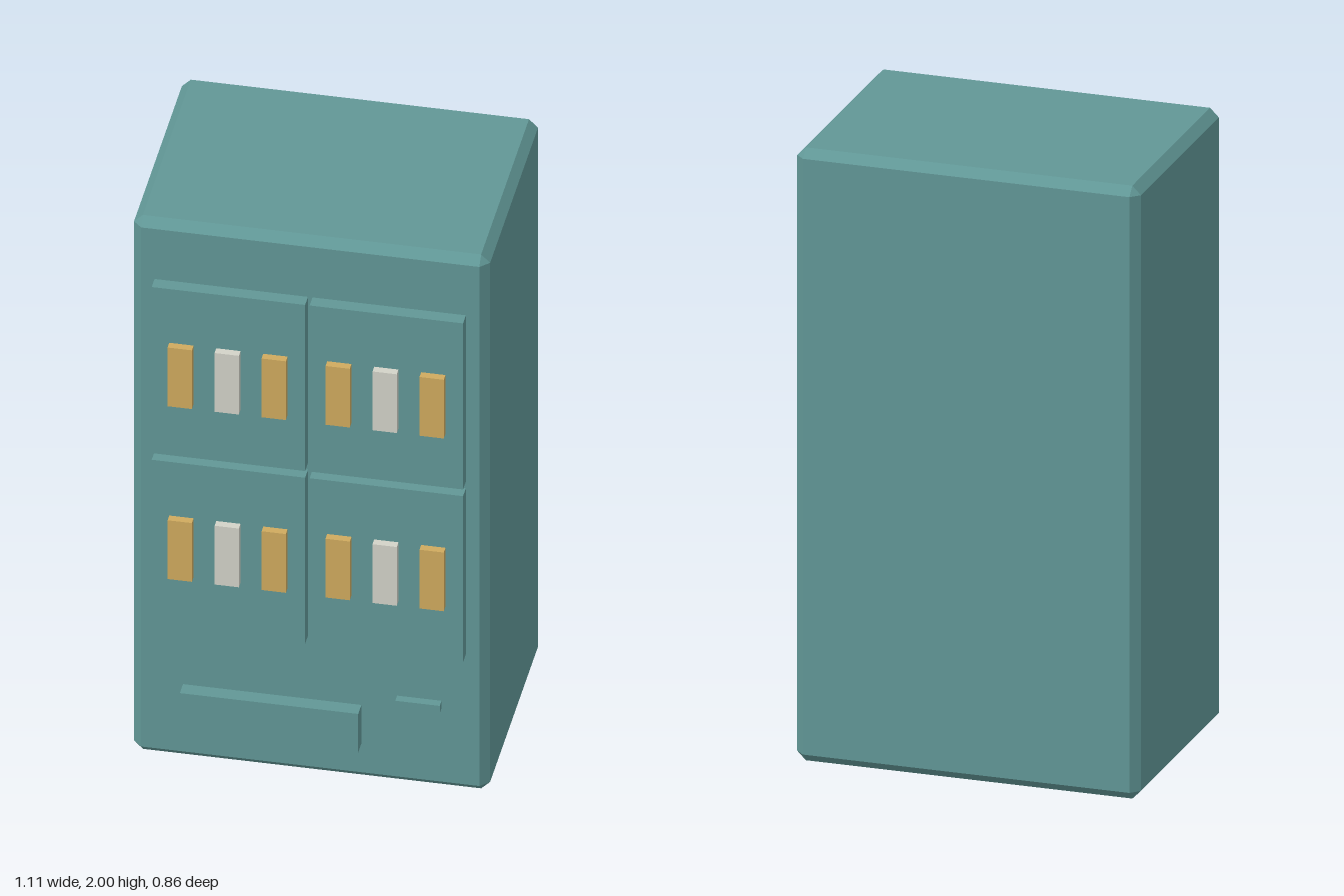
import * as THREE from 'three';
import { ConvexGeometry } from 'three/addons/geometries/ConvexGeometry.js';

const material = (name, color) => {
  const m = new THREE.MeshStandardMaterial({ color });
  m.name = name;
  return m;
};

// Box with flat bevels on every edge and cut corners
function chamferedBox(w, h, d, c) {
  const points = [];
  for (const x of [-1, 1]) for (const y of [-1, 1]) for (const z of [-1, 1]) {
    for (const [a, b, e] of [[0, c, c], [c, 0, c], [c, c, 0]]) {
      points.push(new THREE.Vector3(x * (w / 2 - a), y * (h / 2 - b), z * (d / 2 - e)));
    }
  }
  return new ConvexGeometry(points);
}

export function createModel() {
  const model = new THREE.Group();
  model.name = 'vendingMachine';
  const teal = material('tealPaint', 0x619796);
  const gold = material('goldPackaging', 0xcfaa5e);
  const silver = material('paleGreyPackaging', 0xd2d2c8);

  const addBox = (parent, name, mat, size, position) => {
    const mesh = new THREE.Mesh(new THREE.BoxGeometry(...size), mat);
    mesh.name = name;
    mesh.position.set(...position);
    parent.add(mesh);
  };

  // Cabinet
  const cabinet = new THREE.Mesh(chamferedBox(1.114, 2, 0.792, 0.028), teal);
  cabinet.name = 'cabinet';
  cabinet.position.set(0, 1, -0.035);
  model.add(cabinet);

  // Four display panels, each with a row of three products
  for (const y of [1.474, 0.827]) {
    for (const x of [-0.247, 0.247]) {
      const display = new THREE.Group();
      display.name = 'displayPanel';
      display.position.set(x, y, 0);
      addBox(display, 'panel', teal, [0.48, 0.622, 0.045], [0, 0, 0.3825]);
      for (const i of [-1, 0, 1]) {
        addBox(display, 'product', i === 0 ? silver : gold, [0.076, 0.22, 0.028], [i * 0.147, 0, 0.417]);
      }
      model.add(display);
    }
  }

  // Collection tray and the small coin slot standing just clear of the cabinet
  addBox(model, 'collectionTray', teal, [0.558, 0.144, 0.05], [-0.119, 0.208, 0.385]);
  addBox(model, 'coinSlot', teal, [0.139, 0.028, 0.028], [0.344, 0.326, 0.388]);

  return model;
}
